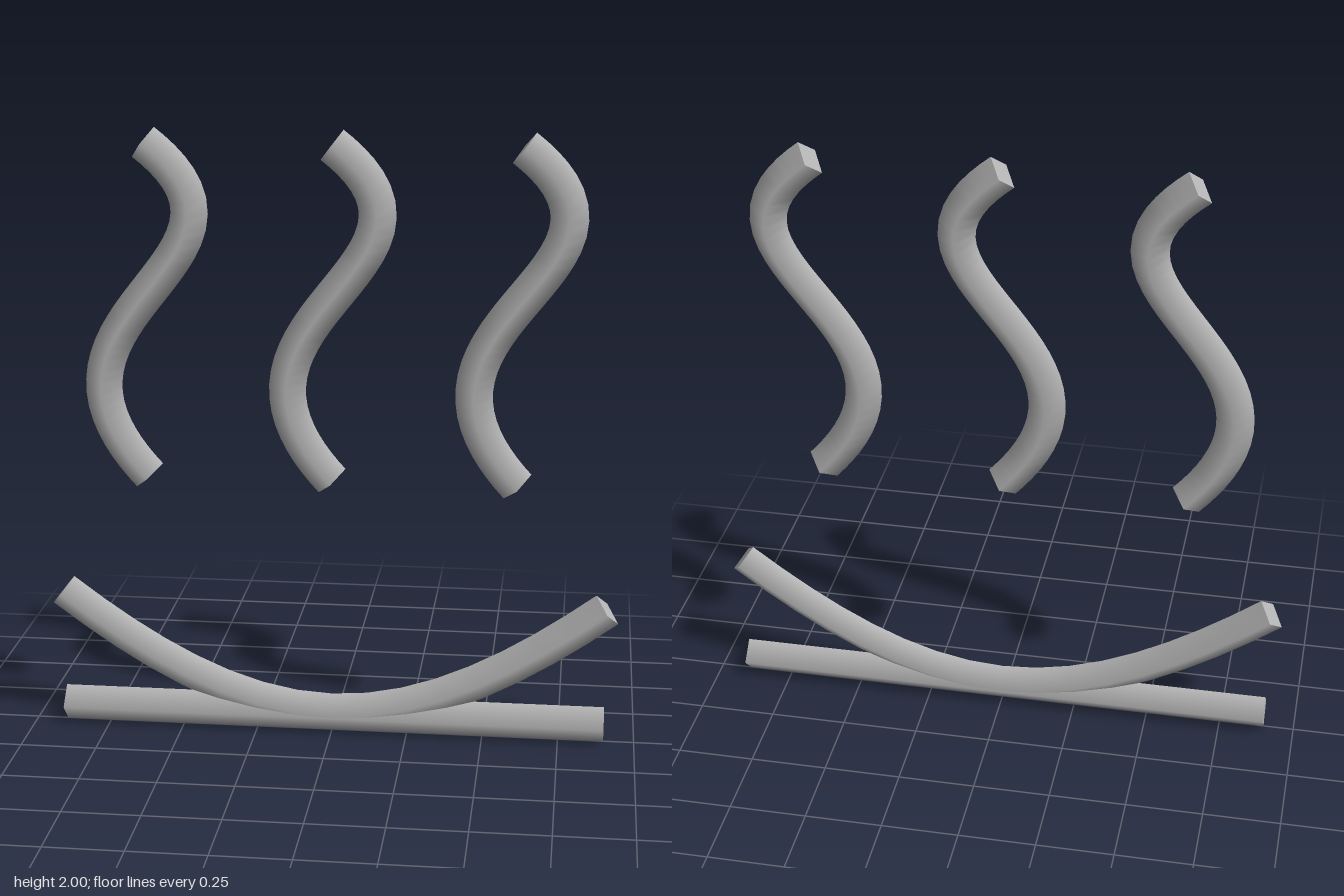
import * as THREE from 'three';
import { mergeGeometries } from 'three/addons/utils/BufferGeometryUtils.js';

const RADIUS = 0.06;
const SIDES = 4;

// Flat square closing one end ring of a tube
function endCap(tube, first, order) {
  const p = tube.attributes.position;
  const corners = order.map((i) => new THREE.Vector3().fromBufferAttribute(p, first + i));
  const cap = new THREE.BufferGeometry().setFromPoints(corners);
  cap.setAttribute('uv', new THREE.Float32BufferAttribute(new Array(8).fill(0), 2));
  cap.setIndex([0, 1, 2, 0, 2, 3]);
  cap.computeVertexNormals();
  return cap;
}

// Four-sided smooth-shaded tube with flat ends
function rod(curve, segments) {
  const tube = new THREE.TubeGeometry(curve, segments, RADIUS, SIDES, false);
  return mergeGeometries([
    tube,
    endCap(tube, 0, [0, 1, 2, 3]),
    endCap(tube, segments * (SIDES + 1), [3, 2, 1, 0]),
  ]);
}

const point = (x, y) => new THREE.Vector3(x, y, 0);

export function createModel() {
  const group = new THREE.Group();
  const grey = new THREE.MeshStandardMaterial({ color: 0xb8b8b8 });
  grey.name = 'grey';

  const add = (name, geometry, x = 0) => {
    const mesh = new THREE.Mesh(geometry, grey);
    mesh.name = name;
    mesh.position.x = x;
    group.add(mesh);
  };

  // Straight bar at the bottom
  add('baseBar', rod(new THREE.LineCurve3(point(-0.9, RADIUS), point(0.9, RADIUS)), 1));

  // Shallow curve resting on the bar
  const bowl = new THREE.CubicBezierCurve3(
    point(-0.9, 0.458), point(-0.22, -0.063), point(0.22, -0.063), point(0.9, 0.458));
  add('bowlCurve', rod(bowl, 16));

  // Three rising wavy strands
  const wave = new THREE.CubicBezierCurve3(
    point(0, 0.865), point(-0.5, 1.4), point(0.5, 1.575), point(0, 1.955));
  const waveGeometry = rod(wave, 32);
  ['rightWave', 'middleWave', 'leftWave'].forEach((name, i) => add(name, waveGeometry, (i - 1) * 0.6));

  return group;
}
